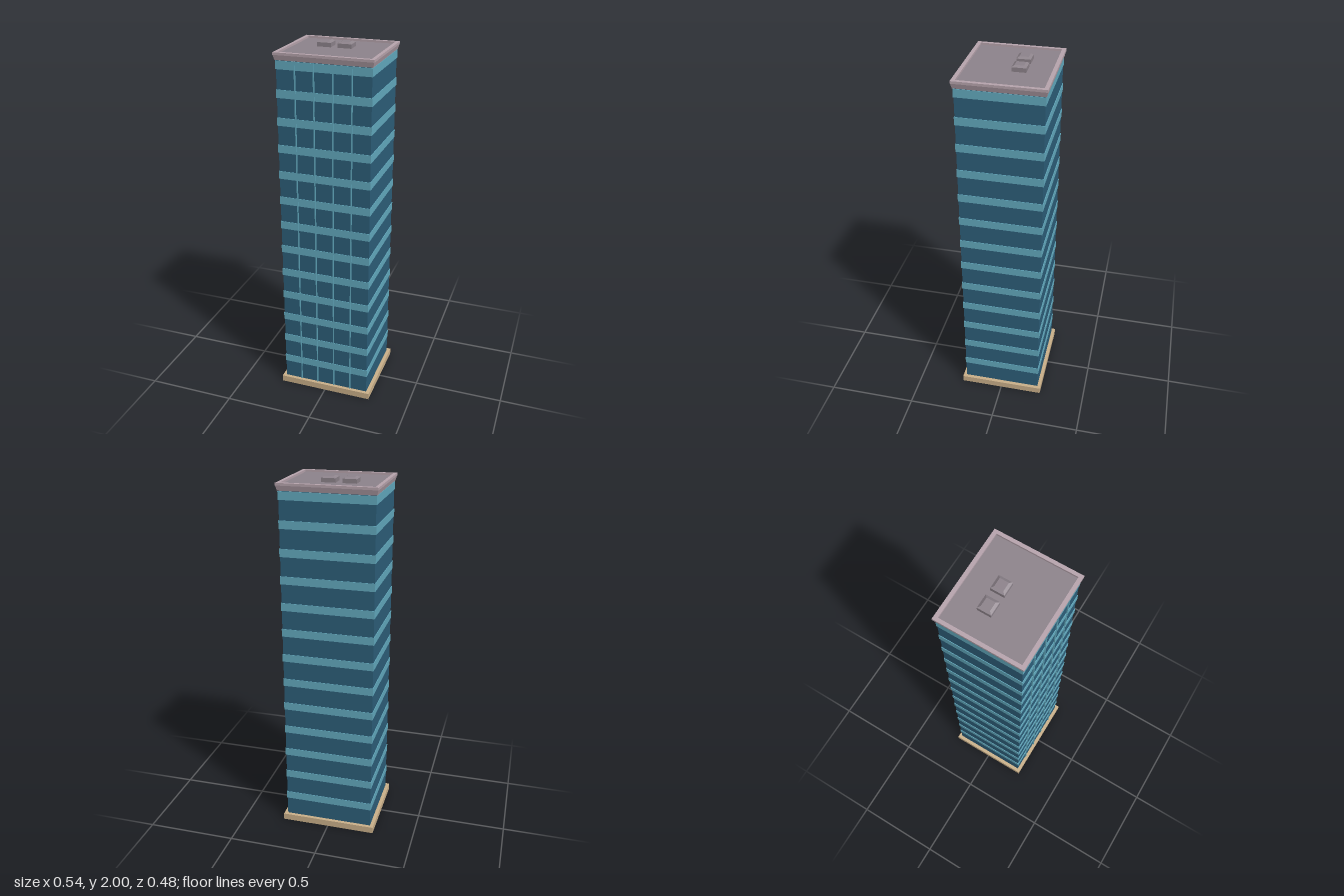
import * as THREE from 'three';

const mat = (name, color) => {
  const m = new THREE.MeshStandardMaterial({ color });
  m.name = name;
  return m;
};

export function createModel() {
  const glass = mat('dark blue glass', 0x2d5f7a);
  const band = mat('light blue panel', 0x63abc0);
  const stone = mat('tan stone', 0xcbb18a);
  const rim = mat('pale mauve rim', 0xb8a5ae);
  const roofing = mat('grey mauve roofing', 0x8e848c);

  const group = new THREE.Group();
  const add = (name, geometry, material, x = 0, y = 0, z = 0) => {
    const mesh = new THREE.Mesh(geometry, material);
    mesh.name = name;
    mesh.position.set(x, y, z);
    group.add(mesh);
    return mesh;
  };
  // box placed by its bottom and top heights
  const box = (name, material, w, d, y0, y1, x = 0, z = 0) =>
    add(name, new THREE.BoxGeometry(w, y1 - y0, d), material, x, (y0 + y1) / 2, z);
  // box whose top has a different size from its bottom
  const taper = (name, material, w0, d0, w1, d1, y0, y1, x = 0, z = 0) => {
    const mesh = box(name, material, w0, d0, y0, y1, x, z);
    const p = mesh.geometry.attributes.position;
    for (let i = 0; i < p.count; i++) {
      if (p.getY(i) > 0) {
        p.setX(i, Math.sign(p.getX(i)) * w1 / 2);
        p.setZ(i, Math.sign(p.getZ(i)) * d1 / 2);
      }
    }
    mesh.geometry = mesh.geometry.toNonIndexed();
    mesh.geometry.computeVertexNormals();
    return mesh;
  };

  // plinth and glazed tower
  box('plinth', stone, 0.54, 0.48, 0, 0.037);
  box('glassTower', glass, 0.5, 0.442, 0.037, 1.945);

  // floor bands around the tower
  for (let i = 0; i < 13; i++) {
    const y = 0.143 + i * 0.1461;
    box('floorBand', band, 0.506, 0.448, y, y + 0.043);
  }

  // slim upright mullions on the front
  for (const x of [-0.15, -0.05, 0.05, 0.15]) {
    box('mullion', band, 0.006, 0.008, 0.037, 1.94, x, 0.223);
  }

  // flared roof slab with a sunken floor inside a parapet
  taper('roofSlab', rim, 0.508, 0.452, 0.522, 0.464, 1.942, 1.968);
  const outline = (w, d, C) => {
    const s = new C();
    s.moveTo(-w, -d).lineTo(w, -d).lineTo(w, d).lineTo(-w, d).closePath();
    return s;
  };
  const ring = outline(0.262, 0.233, THREE.Shape);
  ring.holes.push(outline(0.243, 0.213, THREE.Path));
  const parapet = new THREE.ExtrudeGeometry(ring, { depth: 0.013, bevelEnabled: false });
  parapet.rotateX(-Math.PI / 2);
  add('parapet', parapet, rim, 0, 1.968, 0);
  box('roofFloor', roofing, 0.486, 0.426, 1.964, 1.97);

  // two rooftop units with chamfered tops
  for (const x of [-0.083, 0.028]) {
    box('roofUnit', roofing, 0.075, 0.073, 1.97, 1.992, x, -0.054);
    taper('roofUnitCap', roofing, 0.075, 0.073, 0.047, 0.047, 1.992, 2, x, -0.054);
  }
  return group;
}
